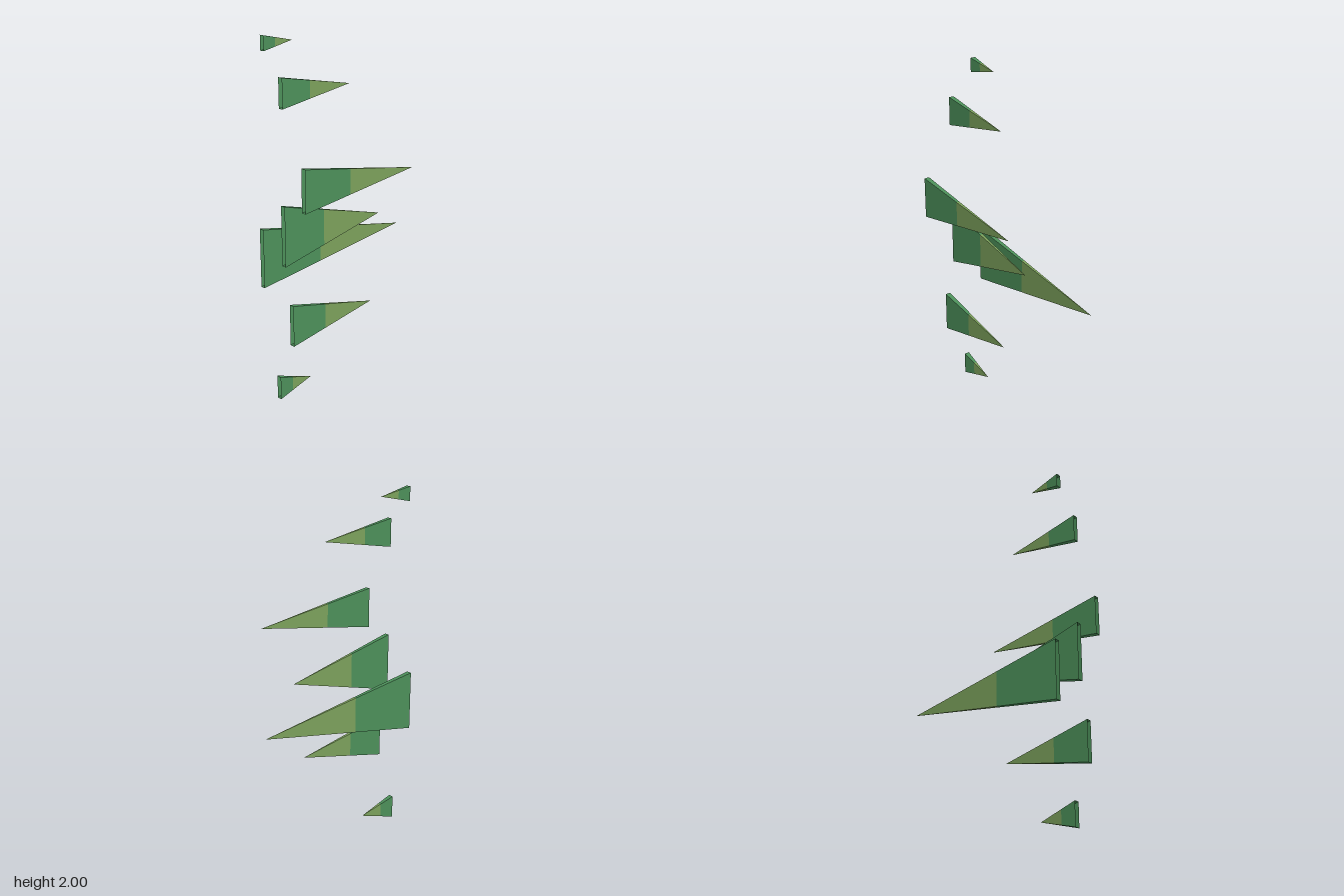
import * as THREE from 'three';

// x, bottom y, top y, tip z of each spike
const SPIKES = [
  [-0.06, 0, 0.133, 0.27],
  [0.07, 0.365, 0.598, -0.06],
  [-0.19, 0.622, 0.957, -0.49],
  [0.01, 0.8, 1.133, -0.17],
  [0.19, 1.137, 1.37, -0.255],
  [0.01, 1.645, 1.805, 0.04],
  [-0.14, 1.92, 2, 0.3],
];
const BASE_Z = 0.49;
const WIDTH = 0.03;
const SPLIT = 0.4; // share of the length taken by the darker root

// Open four-sided section of a unit pyramid pointing to -z, between shares a and b of its length
function section(a, b, width, height, length) {
  const r = Math.SQRT1_2;
  const g = new THREE.CylinderGeometry(r * (1 - b), r * (1 - a), b - a, 4, 1, true, Math.PI / 4);
  g.translate(0, (a + b) / 2, 0).rotateX(-Math.PI / 2).scale(width, height, length);
  const flat = g.toNonIndexed();
  flat.computeVertexNormals();
  return flat;
}

export function createModel() {
  const side = THREE.DoubleSide;
  const rootGreen = new THREE.MeshStandardMaterial({ name: 'root green', color: 0x4c8f59, flatShading: true, side });
  const tipGreen = new THREE.MeshStandardMaterial({ name: 'tip green', color: 0x7ba05b, flatShading: true, side });

  const model = new THREE.Group();
  model.name = 'spikes';
  SPIKES.forEach(([x, y0, y1, tipZ], i) => {
    const spike = new THREE.Group();
    spike.name = `spike${i + 1}`;
    spike.position.set(x, (y0 + y1) / 2, BASE_Z);
    const size = [WIDTH, y1 - y0, BASE_Z - tipZ];

    // Dark root, open at the wide end
    const root = new THREE.Mesh(section(0, SPLIT, ...size), rootGreen);
    root.name = 'spikeRoot';
    // Light pointed tip
    const tip = new THREE.Mesh(section(SPLIT, 1, ...size), tipGreen);
    tip.name = 'spikeTip';

    spike.add(root, tip);
    model.add(spike);
  });
  return model;
}
